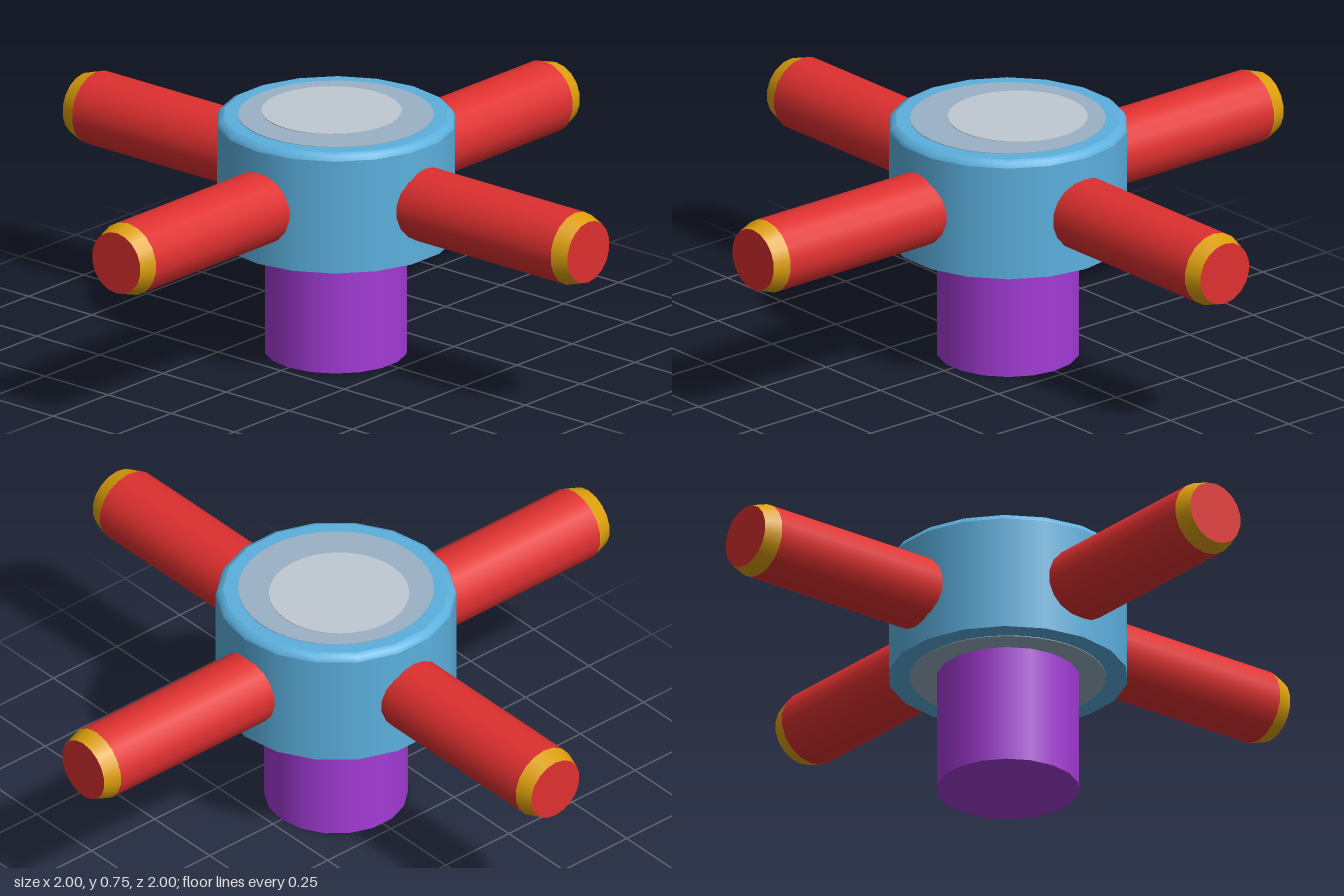
import * as THREE from 'three';

const SIDES = 18;
const TURN = Math.PI / SIDES; // puts flat sides at front and back

function material(name, color) {
  const m = new THREE.MeshStandardMaterial({ color });
  m.name = name;
  return m;
}

export function createModel() {
  const group = new THREE.Group();
  group.name = 'fourWayHub';

  const blue = material('blue', 0x5cb0de);
  const red = material('red', 0xe03030);
  const gold = material('gold', 0xdd9f0c);
  const purple = material('purple', 0xa33bd6);
  const slate = material('greyBlue', 0x9bb2c6);
  const silver = material('paleGrey', 0xc0c9d2);

  const add = (parent, name, geometry, mat, x = 0, y = 0, z = 0) => {
    const mesh = new THREE.Mesh(geometry, mat);
    mesh.name = name;
    mesh.position.set(x, y, z);
    parent.add(mesh);
    return mesh;
  };

  // Stem
  add(group, 'stem', new THREE.CylinderGeometry(0.215, 0.215, 0.38, SIDES, 1, false, TURN), purple, 0, 0.19, 0);

  // Hub body with rounded top rim; repeated points keep the edges sharp
  const profile = [
    [0, 0.37], [0.36, 0.37], [0.36, 0.37], [0.36, 0.725], [0.36, 0.725],
    [0.354, 0.739], [0.338, 0.746], [0.338, 0.746], [0, 0.746],
  ].map(([r, y]) => new THREE.Vector2(r, y));
  add(group, 'hub', new THREE.LatheGeometry(profile, SIDES, TURN), blue);

  // Inset plates above and below, with a pale disc on top
  const plate = (r, h, sides) => new THREE.CylinderGeometry(r, r, h, sides, 1, false, TURN);
  add(group, 'topPlate', plate(0.293, 0.004, 36), slate, 0, 0.746, 0);
  add(group, 'bottomPlate', plate(0.293, 0.004, 36), slate, 0, 0.37, 0);
  add(group, 'topDisc', plate(0.21, 0.004, 36), silver, 0.012, 0.748, -0.028);

  // Four arms with tapered gold collars and red end faces
  const armShape = new THREE.CylinderGeometry(0.113, 0.113, 0.75, SIDES, 1, true).rotateX(Math.PI / 2);
  const collarShape = new THREE.CylinderGeometry(0.096, 0.113, 0.052, SIDES).rotateX(Math.PI / 2);
  ['front', 'left', 'back', 'right'].forEach((side, i) => {
    const arm = new THREE.Group();
    arm.name = side + 'Arm';
    arm.position.y = 0.545;
    arm.rotation.y = i * Math.PI / 2;
    add(arm, side + 'Rod', armShape, red, 0, 0, 0.573);
    add(arm, side + 'Collar', collarShape, [gold, red, red], 0, 0, 0.974);
    group.add(arm);
  });

  return group;
}
